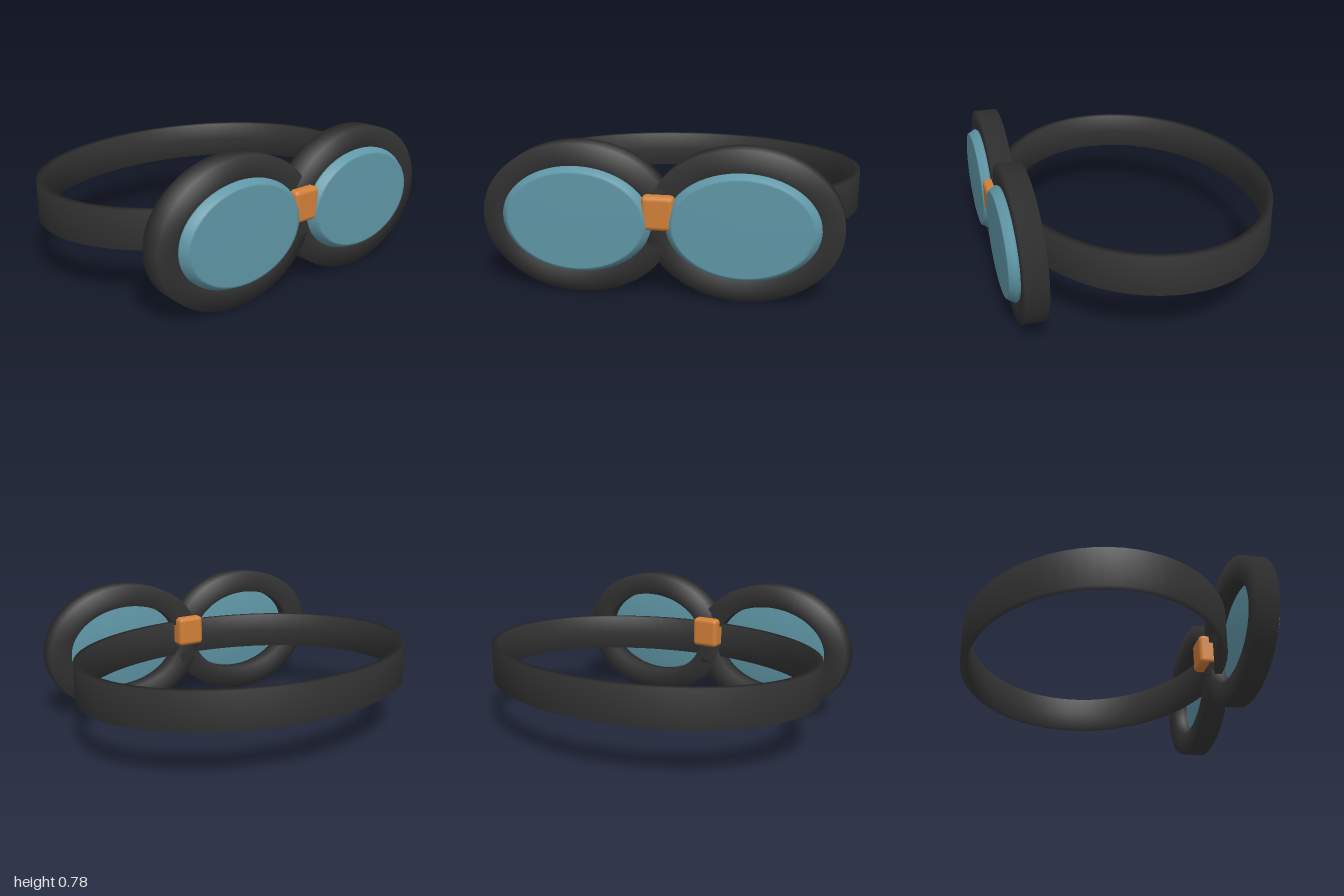
import * as THREE from 'three';
import { RoundedBoxGeometry } from 'three/addons/geometries/RoundedBoxGeometry.js';

const material = (name, color) => {
  const m = new THREE.MeshStandardMaterial({ color });
  m.name = name;
  return m;
};

const lathe = (points, segments = 64) =>
  new THREE.LatheGeometry(points.map(([r, y]) => new THREE.Vector2(r, y)), segments);

// Oval band with a rectangular section: a turned ring whose x is pushed outward evenly
function ovalBand(inner, outer, height, stretch) {
  const h = height / 2;
  const geometry = lathe([
    [inner, 0], [inner, -h], [outer, -h], [outer, h], [inner, h], [inner, 0],
  ]);
  const p = geometry.attributes.position;
  for (let i = 0; i < p.count; i++) {
    const x = p.getX(i);
    p.setX(i, x + (stretch * x) / Math.hypot(x, p.getZ(i)));
  }
  return geometry;
}

export function createModel() {
  const group = new THREE.Group();
  group.name = 'goggles';
  const rubber = material('black rubber', 0x333333);
  const glass = material('blue glass', 0x5f96a6);
  const orange = material('orange plastic', 0xd28038);

  const add = (name, geometry, mat, x, y, z) => {
    const mesh = new THREE.Mesh(geometry, mat);
    mesh.name = name;
    mesh.position.set(x, y, z);
    group.add(mesh);
  };

  // Eye frames, turned to face forward
  const frame = ovalBand(0.26, 0.39, 0.118, 0.105).rotateX(Math.PI / 2);

  // Lenses with a chamfered rim
  const lens = lathe([
    [0, -0.045], [0.25, -0.045], [0.276, 0], [0.276, 0.006],
    [0.256, 0.043], [0.246, 0.045], [0, 0.046],
  ]).rotateX(Math.PI / 2).scale(1.395, 1, 1);

  for (const [side, s] of [['left', 1], ['right', -1]]) {
    add(side + 'Frame', frame, rubber, s * 0.42, 0.39, 0.687);
    add(side + 'Lens', lens, glass, s * 0.42, 0.393, 0.755);
  }

  // Nose bridge clip
  add('bridge', new RoundedBoxGeometry(0.165, 0.178, 0.222, 3, 0.025), orange, 0, 0.45, 0.683);

  // Head strap
  add('strap', ovalBand(0.71, 0.75, 0.21, 0.25), rubber, 0, 0.395, -0.055);

  return group;
}
